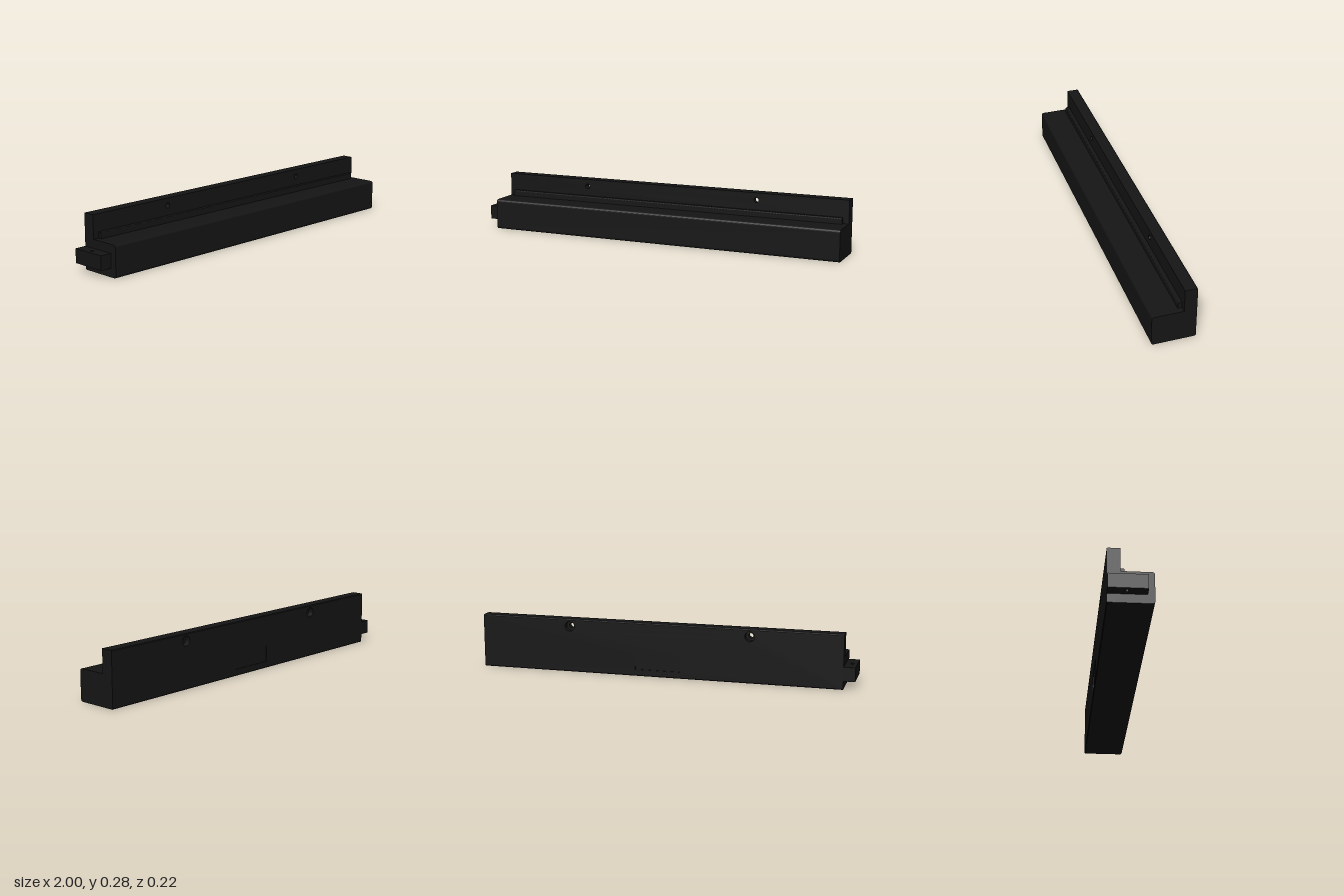
import * as THREE from 'three';

const X0 = -0.94, X1 = 1;
const HOLES = [-0.46, 0.51], HOLE_Y = 0.245;

function rect(x0, y0, x1, y1, Type = THREE.Shape) {
  return new Type([[x0, y0], [x1, y0], [x1, y1], [x0, y1]].map(p => new THREE.Vector2(...p)));
}

function circle(x, y, r) {
  const p = new THREE.Path();
  p.absarc(x, y, r, 0, Math.PI * 2, true);
  return p;
}

// Slab facing z, between z0 and z1
function slab(shape, z0, z1) {
  return new THREE.ExtrudeGeometry(shape, { depth: z1 - z0, bevelEnabled: false, curveSegments: 16 }).translate(0, 0, z0);
}

// Profile given as (z, y), swept along x
function sweep(shape, x0, x1) {
  const g = new THREE.ExtrudeGeometry(shape, { depth: x1 - x0, bevelEnabled: false, curveSegments: 8 });
  return g.rotateY(-Math.PI / 2).scale(1, 1, 1).translate(x1, 0, 0);
}

export function createModel() {
  const group = new THREE.Group();
  const material = new THREE.MeshStandardMaterial({ color: 0x151515 });
  const add = (name, geometry) => {
    const mesh = new THREE.Mesh(geometry, material);
    mesh.name = name;
    group.add(mesh);
  };

  // Base block with rounded front edges
  const r = 0.014, zf = 0.112, h = 0.163;
  const base = new THREE.Shape();
  base.moveTo(-0.08, 0);
  base.lineTo(zf - r, 0);
  base.quadraticCurveTo(zf, 0, zf, r);
  base.lineTo(zf, h - r);
  base.quadraticCurveTo(zf, h, zf - r, h);
  base.lineTo(-0.08, h);
  base.closePath();
  add('baseBlock', sweep(base, X0, X1));

  // Upright wall with screw holes, wider at the rear
  const front = rect(X0, h, X1, 0.284);
  front.holes = HOLES.map(x => circle(x, HOLE_Y, 0.013));
  add('wallFront', slab(front, -0.08, -0.047));

  const rear = rect(X0, 0, X1, 0.284);
  rear.holes = HOLES.map(x => circle(x, HOLE_Y, 0.026));
  add('wallRear', slab(rear, -0.107, -0.08));

  // Back skin with a shallow label recess and chamfered long edges
  const skin = rect(X0, 0, X1, 0.284);
  skin.holes = [...HOLES.map(x => circle(x, HOLE_Y, 0.026)), rect(-0.095, 0.035, 0.15, 0.12, THREE.Path)];
  const skinGeometry = slab(skin, -0.111, -0.107);
  const p = skinGeometry.attributes.position;
  for (let i = 0; i < p.count; i++) {
    if (p.getZ(i) < -0.109) p.setY(i, THREE.MathUtils.clamp(p.getY(i), 0.004, 0.28));
  }
  skinGeometry.computeVertexNormals();
  add('wallBackSkin', skinGeometry);

  // Ledge strip in the corner, rounded on its top front edge
  const ledge = new THREE.Shape();
  ledge.moveTo(-0.05, h - 0.003);
  ledge.lineTo(-0.026, h - 0.003);
  ledge.lineTo(-0.026, 0.188);
  ledge.quadraticCurveTo(-0.026, 0.194, -0.032, 0.194);
  ledge.lineTo(-0.05, 0.194);
  ledge.closePath();
  add('ledgeStrip', sweep(ledge, -0.91, 0.97));

  // End tab with a vertical pin hole; shape is (x, -z)
  const tab = rect(-1, -0.078, X0, 0.111);
  tab.holes = [circle(-0.972, 0.02, 0.009)];
  add('endTab', slab(tab, 0.045, 0.118).rotateX(-Math.PI / 2));

  return group;
}
